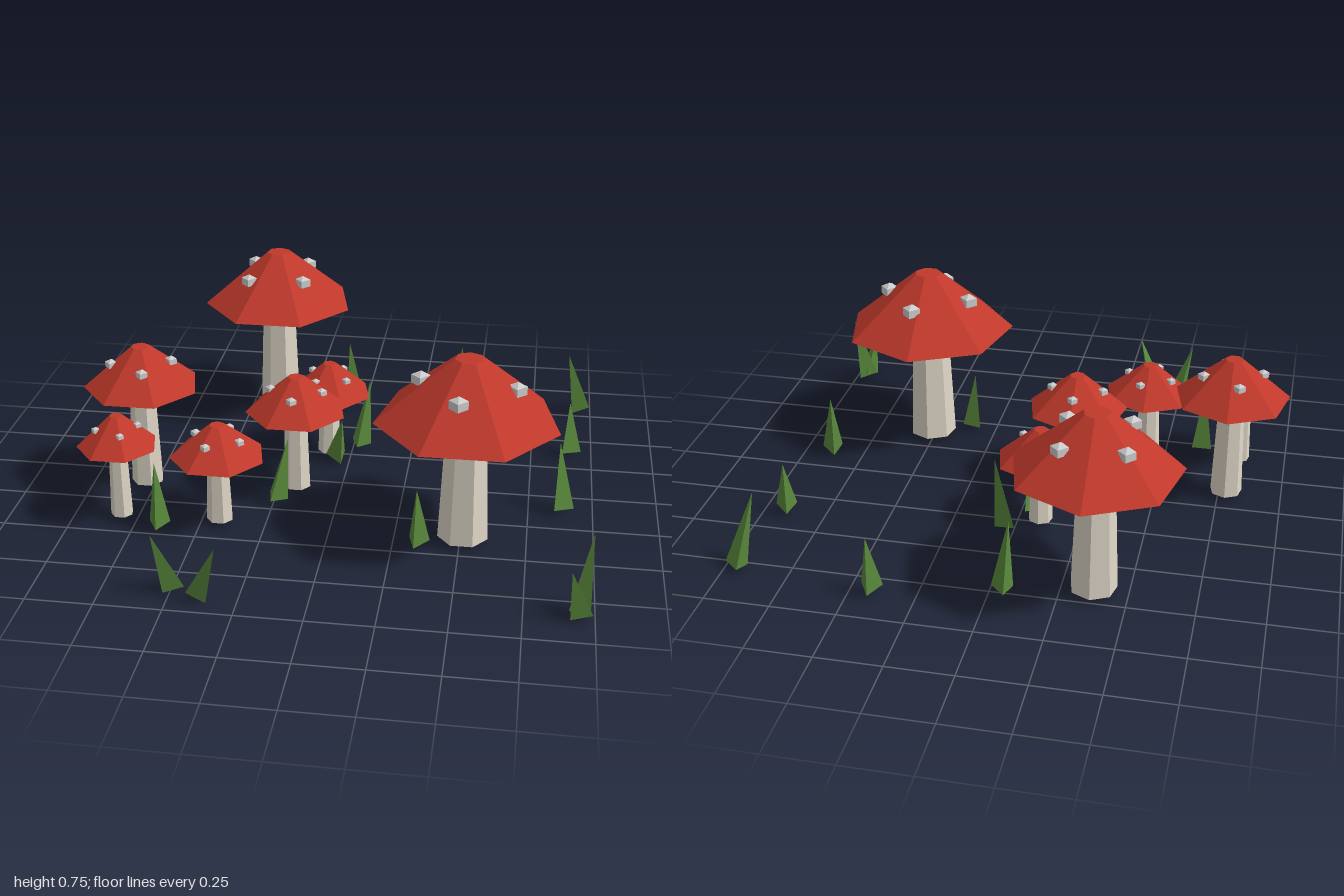
import * as THREE from 'three';

const mat = (color) => new THREE.MeshStandardMaterial({ color, flatShading: true });
const red = mat(0xc0392b), cream = mat(0xe0d8c8), white = mat(0xececec), green = mat(0x5a8a3c);

function addMesh(parent, name, geometry, material, x, y, z) {
  const mesh = new THREE.Mesh(geometry, material);
  mesh.name = name;
  mesh.position.set(x, y, z);
  parent.add(mesh);
  return mesh;
}

// Seven-sided mushroom: tapered stem, frustum cap and four spots on the slope
function mushroom(x, z, radius, capY, topY, spotAngle) {
  const group = new THREE.Group();
  group.name = 'mushroom';
  group.position.set(x, 0, z);
  const foot = 0.02, capH = topY - capY, topRadius = radius * 0.155;

  const stemH = capY - foot + 0.01;
  addMesh(group, 'stem', new THREE.CylinderGeometry(radius * 0.22, radius * 0.28, stemH, 7),
    cream, 0, foot + stemH / 2, 0).rotation.y = Math.PI;
  addMesh(group, 'cap', new THREE.CylinderGeometry(topRadius, radius, capH, 7),
    red, 0, capY + capH / 2, 0).rotation.y = Math.PI;

  const spotR = radius * 0.51;
  const spotY = capY + capH * (radius - spotR) / (radius - topRadius);
  for (let i = 0; i < 4; i++) {
    const a = spotAngle + i * Math.PI / 2;
    addMesh(group, 'spot', new THREE.SphereGeometry(radius * 0.118, 4, 3), white,
      Math.sin(a) * spotR, spotY, -Math.cos(a) * spotR).scale.y = 0.8;
  }
  return group;
}

// Three-sided grass blade leaning from its base towards its tip
function blade(bx, bz, tx, tz, h) {
  const base = new THREE.Vector3(bx, 0.02, bz), tip = new THREE.Vector3(tx, h, tz);
  const dir = tip.clone().sub(base), length = dir.length();
  const geometry = new THREE.ConeGeometry(0.047, length, 3);
  geometry.translate(0, length / 2, 0);
  geometry.rotateY(Math.atan2(tx - bx, tz - bz));
  const mesh = new THREE.Mesh(geometry, green);
  mesh.name = 'grassBlade';
  mesh.position.copy(base);
  mesh.quaternion.setFromUnitVectors(new THREE.Vector3(0, 1, 0), dir.normalize());
  return mesh;
}

export function createModel() {
  const model = new THREE.Group();
  model.name = 'mushroomPatch';

  // x, z, cap radius, cap bottom, cap top, angle of first spot
  const mushrooms = [
    [-0.37, -0.67, 0.317, 0.51, 0.735, 0.73],
    [0.51, 0.375, 0.348, 0.505, 0.75, 0.14],
    [-0.78, 0.11, 0.228, 0.44, 0.605, -0.28],
    [-0.81, 0.39, 0.155, 0.315, 0.44, 1.14],
    [-0.425, 0.375, 0.184, 0.29, 0.42, 0.29],
    [-0.175, 0.07, 0.2, 0.35, 0.495, 0.02],
    [-0.09, -0.25, 0.173, 0.285, 0.415, 0.55],
  ];
  for (const m of mushrooms) model.add(mushroom(...m));

  // base x, base z, tip x, tip z, tip height
  const blades = [
    [-0.05, -0.75, -0.07, -0.73, 0.3],
    [0.42, -0.84, 0.42, -0.87, 0.25],
    [0.95, -0.8, 0.89, -0.73, 0.3],
    [0.91, -0.37, 0.9, -0.4, 0.23],
    [0.88, 0.12, 0.86, 0.07, 0.28],
    [0.955, 0.84, 0.98, 0.785, 0.305],
    [0.95, 0.85, 0.91, 0.88, 0.2],
    [-0.49, 0.87, -0.55, 0.925, 0.255],
    [-0.39, 0.91, -0.31, 0.98, 0.25],
    [-0.65, 0.455, -0.65, 0.47, 0.29],
    [0.03, -0.32, 0.07, -0.335, 0.31],
    [-0.24, 0.19, -0.19, 0.18, 0.28],
    [-0.05, -0.19, -0.02, -0.13, 0.22],
    [0.345, 0.45, 0.34, 0.47, 0.25],
  ];
  for (const b of blades) model.add(blade(...b));
  return model;
}
